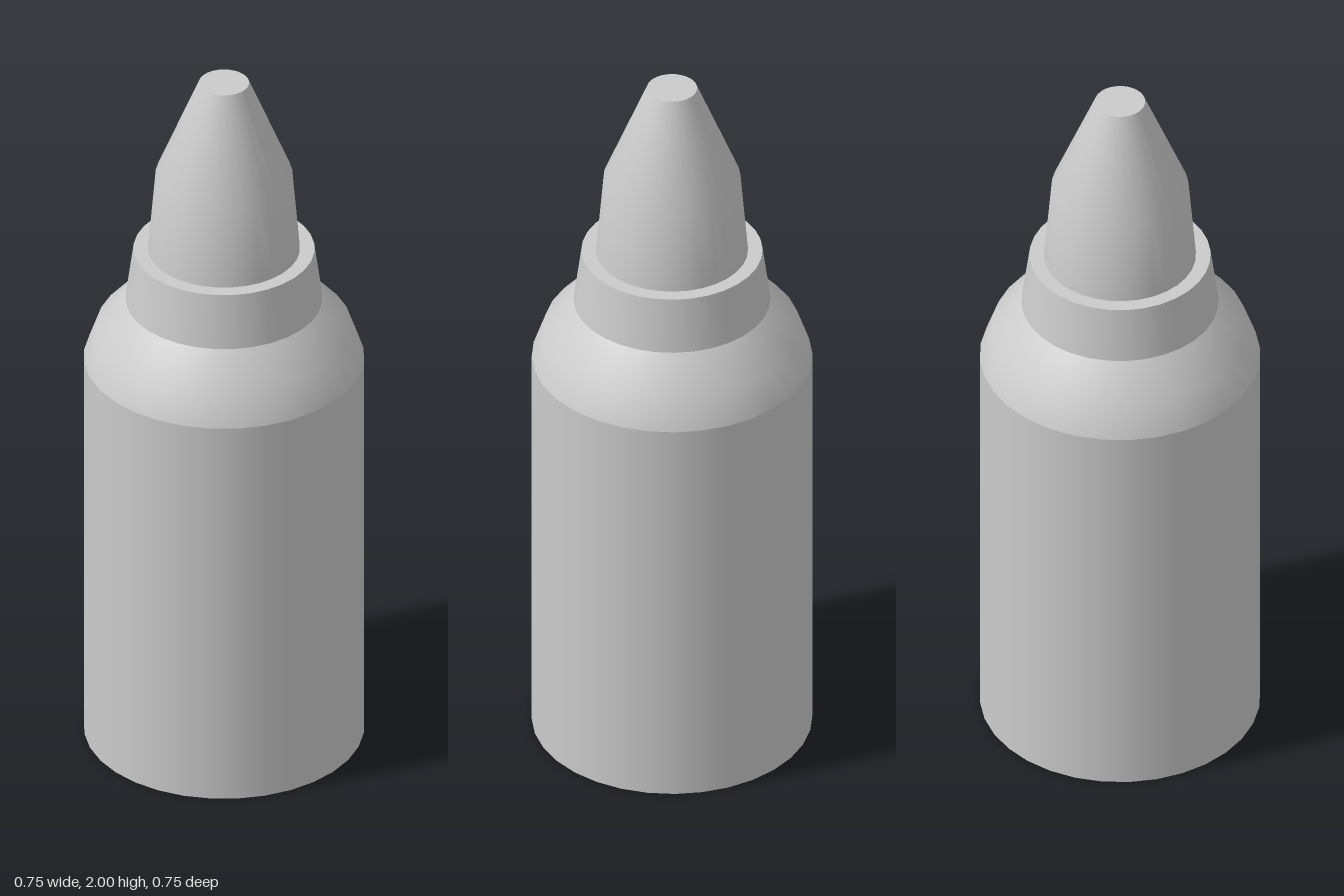
import * as THREE from 'three';

const SIDES = 32;

export function createModel() {
  const model = new THREE.Group();
  const material = new THREE.MeshStandardMaterial({ color: 0xcccccc });

  function add(name, geometry) {
    const mesh = new THREE.Mesh(geometry, material);
    mesh.name = name;
    model.add(mesh);
    return mesh;
  }

  // Turned wall, smooth within one profile of [radius, height], listed bottom to top
  const turned = (name, profile) =>
    add(name, new THREE.LatheGeometry(profile.map(([r, y]) => new THREE.Vector2(r, y)), SIDES));

  // Flat disc, or ring when an inner radius is given
  function flat(name, radius, y, { inner = 0, down = false } = {}) {
    const geometry = inner
      ? new THREE.RingGeometry(inner, radius, SIDES)
      : new THREE.CircleGeometry(radius, SIDES);
    geometry.rotateX(down ? Math.PI / 2 : -Math.PI / 2);
    add(name, geometry).position.y = y;
  }

  // Bottle body and rounded shoulder
  flat('base', 0.373, 0, { down: true });
  turned('body', [[0.373, 0], [0.373, 1.15]]);
  turned('shoulder', [[0.373, 1.15], [0.34, 1.243], [0.262, 1.33]]);

  // Tapered collar with a flat rim
  turned('collar', [[0.262, 1.33], [0.241, 1.485]]);
  flat('collarRim', 0.241, 1.485, { inner: 0.202 });

  // Nozzle with a blunt tip
  turned('nozzle', [[0.202, 1.485], [0.182, 1.72], [0.067, 2]]);
  flat('nozzleTip', 0.067, 2);

  return model;
}
